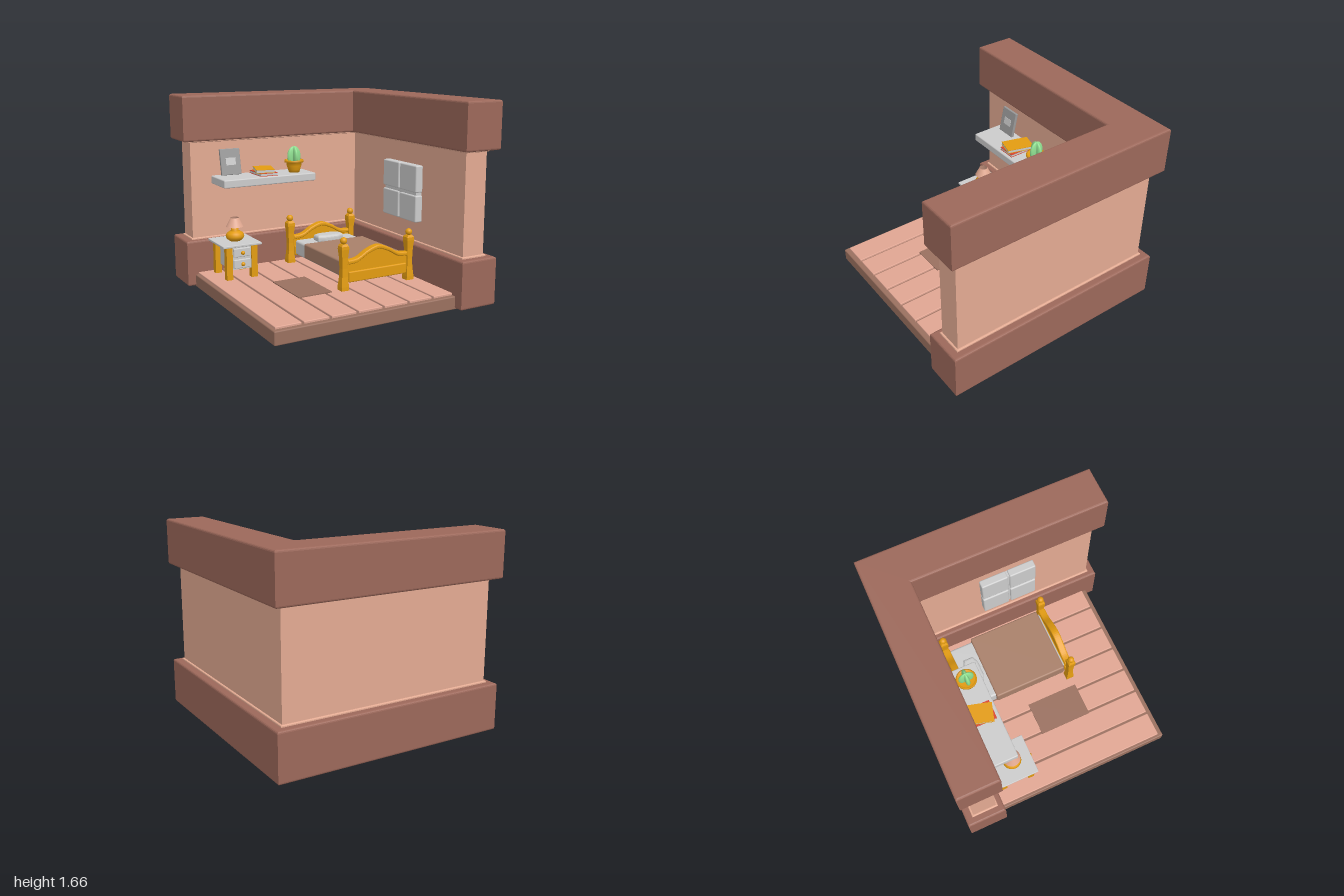
import * as THREE from 'three';
import { RoundedBoxGeometry } from 'three/addons/geometries/RoundedBoxGeometry.js';

const GREY = 0xcccccc, TRIM = 0x9c685a, WALL = 0xe3aa92, PLANK = 0xe0a592,
  DARK = 0x9a705f, BLANKET = 0xa9806a, WOOD = 0xe39c11, GREEN = 0x8fdf90, RED = 0xd8452f;

function add(parent, name, geo, color, pos = [0, 0, 0], opts = {}) {
  const mesh = new THREE.Mesh(geo, new THREE.MeshStandardMaterial({ color, ...opts }));
  mesh.name = name;
  mesh.position.set(...pos);
  parent.add(mesh);
  return mesh;
}

// Box given by its limits, with optional rounded edges
function box(parent, name, color, [x0, x1], [y0, y1], [z0, z1], r = 0) {
  const s = [x1 - x0, y1 - y0, z1 - z0];
  const geo = r ? new RoundedBoxGeometry(...s, 2, r) : new THREE.BoxGeometry(...s);
  return add(parent, name, geo, color, [(x0 + x1) / 2, (y0 + y1) / 2, (z0 + z1) / 2]);
}

function lathe(parent, name, color, pos, profile, segments = 32, opts = {}) {
  const pts = profile.map(([r, y]) => new THREE.Vector2(r, y));
  return add(parent, name, new THREE.LatheGeometry(pts, segments), color, pos, opts);
}

// L-shaped slab along the back and left walls: outer face, inner face, free ends
function corner(parent, name, color, outer, inner, end, y0, y1, b) {
  const pts = [[-end, outer], [outer, outer], [outer, -end], [inner, -end], [inner, inner], [-end, inner]];
  const shape = new THREE.Shape(pts.map(([x, y]) => new THREE.Vector2(x, y)));
  const geo = new THREE.ExtrudeGeometry(shape, {
    depth: y1 - y0 - 2 * b, bevelEnabled: b > 0, bevelSize: b, bevelThickness: b, bevelOffset: -b, bevelSegments: 3,
  });
  geo.rotateX(-Math.PI / 2);
  return add(parent, name, geo, color, [0, y0 + b, 0]);
}

function buildRoom(g) {
  corner(g, 'lowerWallTrim', TRIM, 1, 0.66, 1, 0.01, 0.41, 0.017);
  corner(g, 'upperWallTrim', TRIM, 1, 0.66, 1, 1.27, 1.66, 0.017);
  corner(g, 'wall', WALL, 0.925, 0.72, 0.925, 0.35, 1.33, 0);
  corner(g, 'lowerMoulding', WALL, 0.94, 0.705, 0.94, 0.4, 0.425, 0.008);
  corner(g, 'upperMoulding', WALL, 0.94, 0.705, 0.94, 1.255, 1.28, 0.008);
  box(g, 'floorBase', DARK, [-0.93, 0.71], [0, 0.11], [-0.71, 0.92], 0.01);
  for (let i = 0; i < 7; i++) {
    const x = -0.915 + i * 0.231;
    box(g, 'floorPlank', PLANK, [x + 0.01, x + 0.221], [0.1, 0.128], [-0.71, 0.88], 0.006);
  }
  box(g, 'rug', DARK, [-0.47, -0.17], [0.12, 0.136], [-0.07, 0.4]);
}

// Arched top edge shared by both end boards
function archCurve(lower) {
  return new THREE.CatmullRomCurve3([[-0.29, 0.375], [-0.2, 0.385], [-0.1, 0.44], [0, 0.47], [0.1, 0.44], [0.2, 0.385], [0.29, 0.375]]
    .map(([x, y]) => new THREE.Vector3(x, y - lower, 0))).getPoints(36).map(p => new THREE.Vector2(p.x, p.y));
}

function bedEnd(name, z) {
  const g = new THREE.Group();
  g.name = name;
  g.position.set(0.258, 0, z);
  const extrude = (pts, depth, b) => {
    const geo = new THREE.ExtrudeGeometry(new THREE.Shape(pts), {
      depth: depth - 2 * b, bevelSize: b, bevelThickness: b, bevelOffset: -b, bevelSegments: 3,
    });
    return geo.translate(0, 0, -depth / 2 + b);
  };
  const base = [new THREE.Vector2(0.29, 0.21), new THREE.Vector2(-0.29, 0.21)];
  add(g, 'endPanel', extrude([...archCurve(0.02), ...base], 0.035, 0.005), WOOD);
  add(g, 'archedRail', extrude([...archCurve(0), ...archCurve(0.035).reverse()], 0.065, 0.012), WOOD);
  box(g, 'lowerRail', WOOD, [-0.28, 0.28], [0.19, 0.28], [-0.03, 0.03], 0.01);
  // Square posts with a waist and a ball on top
  const profile = [[0, 0.128], [0.035, 0.128], [0.034, 0.16], [0.026, 0.24], [0.024, 0.31], [0.027, 0.4],
    [0.034, 0.47], [0.033, 0.495], [0.022, 0.512], [0, 0.512]].map(([r, y]) => [r * Math.SQRT2, y]);
  for (const s of [-1, 1]) {
    const post = lathe(g, 'bedPost', WOOD, [s * 0.317, 0, 0], profile, 4, { flatShading: true });
    post.rotation.y = Math.PI / 4;
    add(g, 'postBall', new THREE.SphereGeometry(0.029, 24, 16), WOOD, [s * 0.317, 0.538, 0]);
  }
  return g;
}

function buildBed() {
  const g = new THREE.Group();
  g.name = 'bed';
  g.add(bedEnd('footboard', 0.39), bedEnd('headboard', -0.565));
  box(g, 'mattress', GREY, [-0.02, 0.54], [0.2, 0.335], [-0.54, 0.36], 0.02);
  box(g, 'blanket', BLANKET, [-0.045, 0.565], [0.22, 0.352], [-0.32, 0.345], 0.015);
  const hex = [[-0.125, -0.04], [-0.07, -0.065], [0.07, -0.065], [0.125, -0.04], [0.125, 0.04], [0.07, 0.065], [-0.07, 0.065], [-0.125, 0.04]];
  const pillow = new THREE.ExtrudeGeometry(new THREE.Shape(hex.map(p => new THREE.Vector2(...p))), {
    depth: 0.02, bevelSize: 0.025, bevelThickness: 0.025, bevelOffset: -0.02, bevelSegments: 4,
  }).rotateX(-Math.PI / 2);
  add(g, 'pillow', pillow, GREY, [0.258, 0.345, -0.415]);
  return g;
}

function buildNightstand() {
  const g = new THREE.Group();
  g.name = 'nightstand';
  box(g, 'tableTop', GREY, [-0.82, -0.47], [0.41, 0.43], [-0.63, -0.275], 0.005);
  box(g, 'drawerCase', GREY, [-0.74, -0.545], [0.21, 0.41], [-0.6, -0.31]);
  for (const x of [-0.757, -0.53]) for (const z of [-0.582, -0.325])
    box(g, 'tableLeg', WOOD, [x - 0.027, x + 0.027], [0.128, 0.412], [z - 0.027, z + 0.027]);
  for (const y of [0.358, 0.26]) {
    box(g, 'drawerFront', GREY, [-0.72, -0.57], [y - 0.038, y + 0.038], [-0.32, -0.293], 0.007);
    add(g, 'drawerKnob', new THREE.SphereGeometry(0.017, 20, 14), WOOD, [-0.645, y, -0.278]);
  }
  // Lamp
  lathe(g, 'lampBase', WOOD, [-0.645, 0.43, -0.445], [[0, 0], [0.045, 0], [0.07, 0.018], [0.08, 0.042], [0.07, 0.066],
    [0.045, 0.083], [0.032, 0.09], [0.032, 0.13], [0, 0.13]]);
  lathe(g, 'lampShade', WALL, [-0.645, 0, -0.445], [[0.074, 0.553], [0.036, 0.63]], 32, { side: THREE.DoubleSide });
  return g;
}

function book(name, cover, x, y, z, h, turn) {
  const g = new THREE.Group();
  g.name = name;
  g.position.set(x, y, z);
  g.rotation.y = turn;
  box(g, 'pages', GREY, [-0.077, 0.077], [0.003, h - 0.003], [-0.117, 0.117]);
  for (const y0 of [0, h - 0.004]) box(g, 'cover', cover, [-0.08, 0.08], [y0, y0 + 0.004], [-0.12, 0.12]);
  return g;
}

function buildShelf() {
  const g = new THREE.Group();
  g.name = 'wallShelf';
  box(g, 'shelfBoard', GREY, [-0.74, 0.13], [0.89, 0.96], [-0.73, -0.42], 0.01);
  g.add(book('lowerBook', RED, -0.31, 0.96, -0.57, 0.026, 0));
  g.add(book('upperBook', WOOD, -0.307, 0.986, -0.575, 0.03, -0.28));
  // Leaning picture frame
  const frame = new THREE.Group();
  frame.name = 'pictureFrame';
  frame.position.set(-0.577, 1.075, -0.68);
  frame.rotation.x = -0.2;
  box(frame, 'frameBoard', 0x999999, [-0.092, 0.092], [-0.115, 0.115], [-0.013, 0.013], 0.005);
  box(frame, 'framePicture', GREY, [-0.045, 0.045], [-0.03, 0.035], [0.01, 0.016]);
  g.add(frame);
  // Cactus in a pot: a tall sphere pinched into four ribs
  lathe(g, 'plantPot', WOOD, [-0.02, 0.96, -0.55], [[0, 0], [0.047, 0], [0.055, 0.025], [0.066, 0.06], [0.068, 0.088],
    [0.085, 0.09], [0.085, 0.11], [0.072, 0.11], [0.068, 0.1], [0, 0.1]]);
  const cactus = new THREE.SphereGeometry(1, 64, 24);
  const p = cactus.attributes.position;
  for (let i = 0; i < p.count; i++) {
    const a = Math.atan2(p.getZ(i), p.getX(i));
    const k = 0.065 * (0.45 + 0.55 * Math.cos(2 * a) ** 2);
    p.setXYZ(i, p.getX(i) * k, p.getY(i) * 0.09, p.getZ(i) * k);
  }
  cactus.computeVertexNormals();
  add(g, 'cactus', cactus, GREEN, [-0.02, 1.102, -0.55]);
  return g;
}

// Window with two rows of panes on the side wall
function buildWindow() {
  const g = new THREE.Group();
  g.name = 'window';
  box(g, 'windowBacking', GREY, [0.665, 0.725], [0.62, 1.07], [-0.1, 0.36]);
  for (const y of [0.6, 0.855]) for (const z of [-0.12, 0.135])
    box(g, 'windowPane', GREY, [0.65, 0.722], [y, y + 0.23], [z, z + 0.24], 0.012);
  return g;
}

export function createModel() {
  const model = new THREE.Group();
  model.name = 'bedroomCorner';
  buildRoom(model);
  model.add(buildBed(), buildNightstand(), buildShelf(), buildWindow());
  return model;
}
